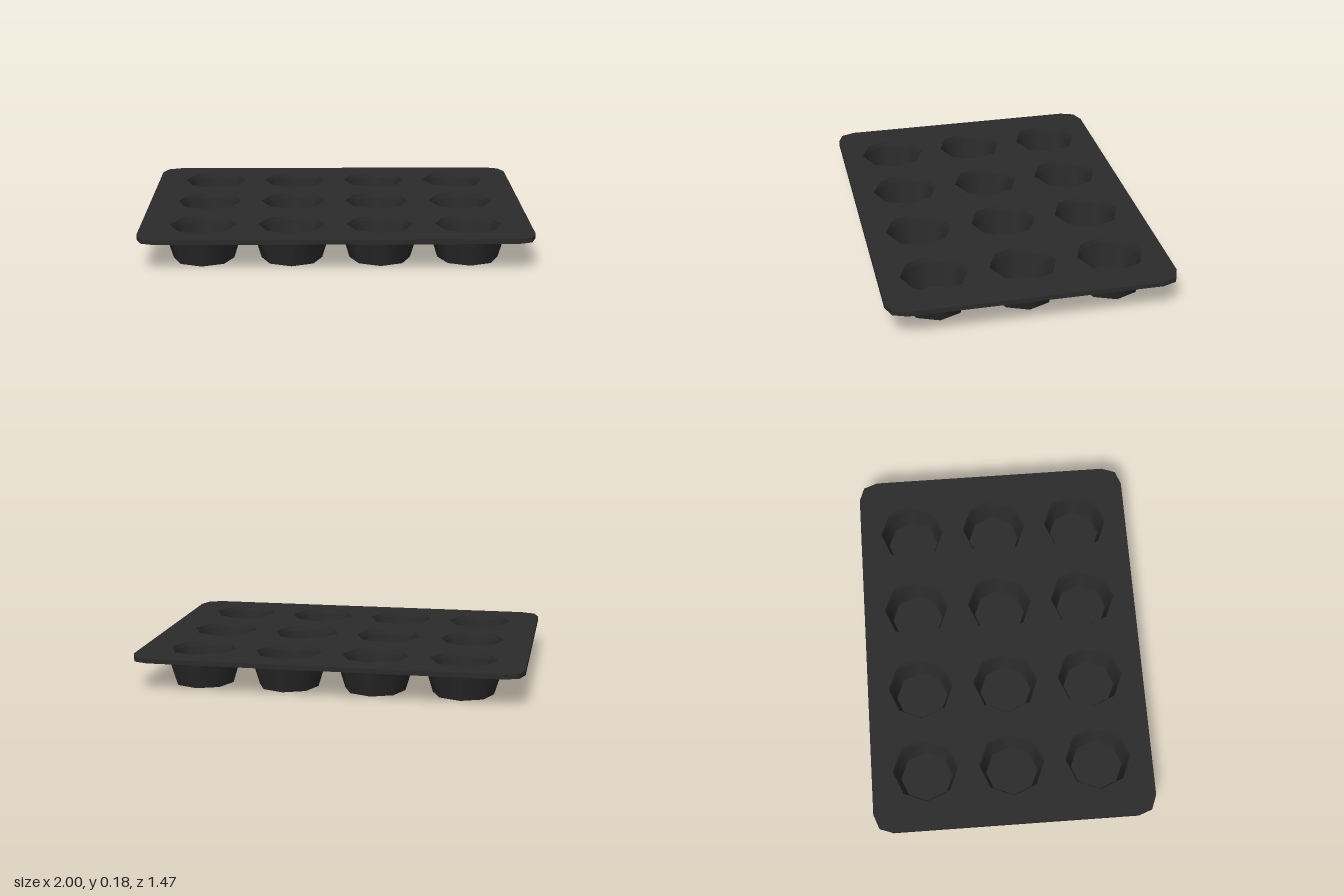
import * as THREE from 'three';
import { mergeGeometries } from 'three/addons/utils/BufferGeometryUtils.js';

const SIDES = 8, PITCH = 0.453;
const TOP = 0.177, UNDER = 0.153, FLOOR = 0.02;
const HOLE_R = 0.171;

// Eight-sided opening with corners on the axes
function octagon(cx, cy, r) {
  const pts = [];
  for (let i = 0; i < SIDES; i++) {
    const a = -i * Math.PI * 2 / SIDES;
    pts.push(new THREE.Vector2(cx + r * Math.cos(a), cy + r * Math.sin(a)));
  }
  return new THREE.Path(pts);
}

// Each profile span is its own lathe, so edges between spans stay sharp
function cupGeometry() {
  const profile = [
    [0, 0], [0.156, 0], [0.203, UNDER],                             // outside
    null,
    [HOLE_R, TOP], [0.162, UNDER], [0.137, FLOOR], [0, FLOOR],      // inside
  ];
  const spans = [];
  for (let i = 0; i < profile.length - 1; i++) {
    if (!profile[i] || !profile[i + 1]) continue;
    const pts = [profile[i], profile[i + 1]].map(p => new THREE.Vector2(...p));
    spans.push(new THREE.LatheGeometry(pts, SIDES));
  }
  return mergeGeometries(spans);
}

// Flat tray with chamfer-rounded corners and an opening per cup
function trayGeometry(centres) {
  const X = 1, Z = 0.735;
  const corner = [[X, Z - 0.1], [X - 0.027, Z - 0.027], [X - 0.1, Z]];
  const flipped = [...corner].reverse();
  const outline = [
    ...corner,
    ...flipped.map(([x, z]) => [-x, z]),
    ...corner.map(([x, z]) => [-x, -z]),
    ...flipped.map(([x, z]) => [x, -z]),
  ].map(p => new THREE.Vector2(...p));
  const shape = new THREE.Shape(outline);
  for (const [x, z] of centres) shape.holes.push(octagon(x, -z, HOLE_R));
  const geo = new THREE.ExtrudeGeometry(shape, { depth: TOP - UNDER, bevelEnabled: false });
  return geo.rotateX(-Math.PI / 2).translate(0, UNDER, 0);
}

export function createModel() {
  const group = new THREE.Group();
  group.name = 'muffinPan';
  const material = new THREE.MeshStandardMaterial({ color: 0x2b2b2b });

  const centres = [];
  for (let row = -1; row <= 1; row++)
    for (let col = -1.5; col <= 1.5; col++) centres.push([col * PITCH, row * PITCH]);

  const tray = new THREE.Mesh(trayGeometry(centres), material);
  tray.name = 'tray';
  group.add(tray);

  // Twelve cups, four across and three deep
  const cupGeo = cupGeometry();
  centres.forEach(([x, z], i) => {
    const cup = new THREE.Mesh(cupGeo, material);
    cup.name = `cup${i + 1}`;
    cup.position.set(x, 0, z);
    group.add(cup);
  });
  return group;
}
